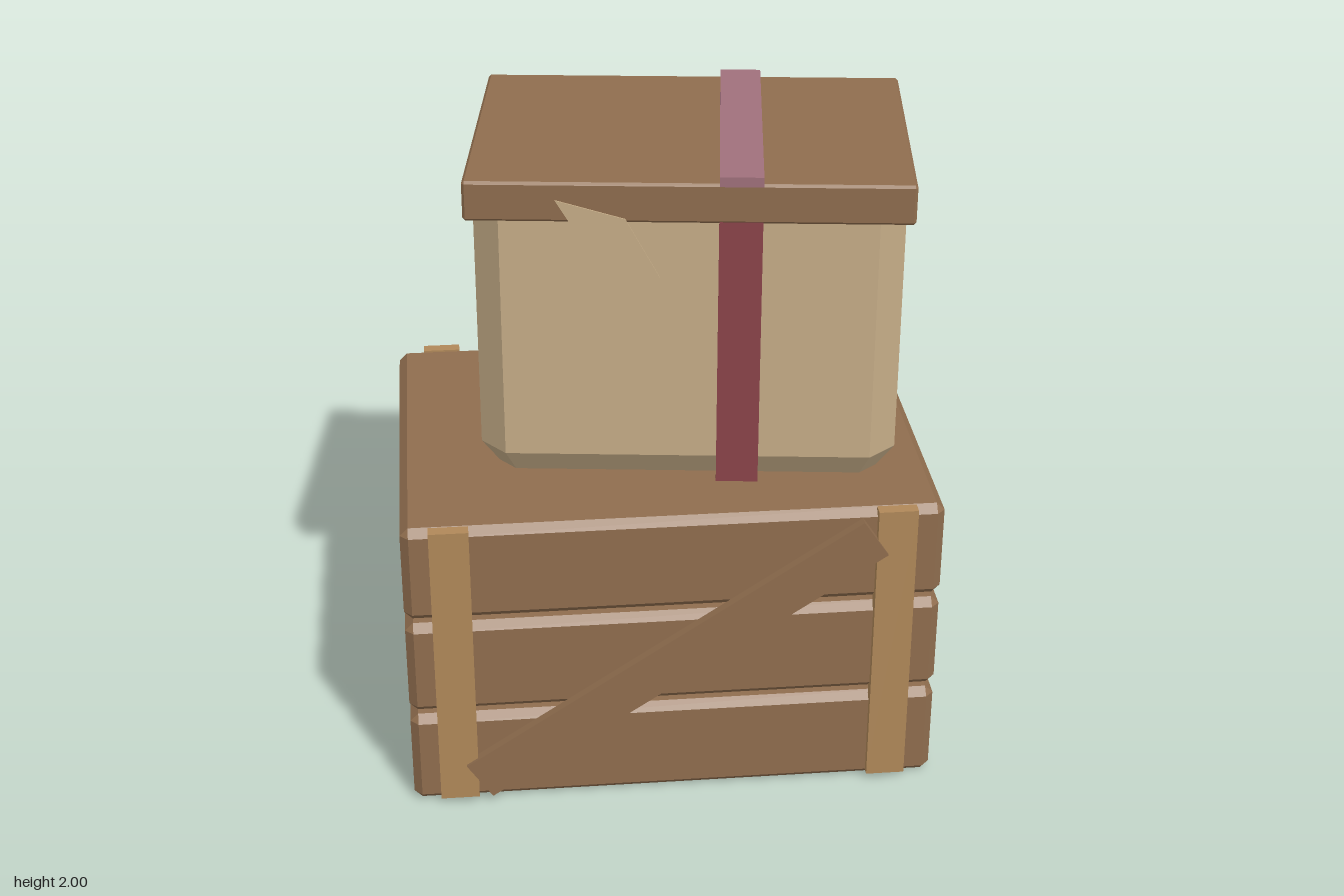
import * as THREE from 'three';
import { ConvexGeometry } from 'three/addons/geometries/ConvexGeometry.js';

const mat = (name, color) => {
  const m = new THREE.MeshStandardMaterial({ color });
  m.name = name;
  return m;
};

// Box with every edge cut at 45 degrees by c
function chamferBox(w, h, d, c) {
  const pts = [];
  for (const sx of [-1, 1]) for (const sy of [-1, 1]) for (const sz of [-1, 1]) {
    for (let k = 0; k < 3; k++) {
      const cut = [c, c, c];
      cut[k] = 0;
      pts.push(new THREE.Vector3(sx * (w / 2 - cut[0]), sy * (h / 2 - cut[1]), sz * (d / 2 - cut[2])));
    }
  }
  return new ConvexGeometry(pts);
}

// Octagonal cross-sections joined into one solid: [y, halfWidth, halfDepth, corner]
function octagonSolid(rings) {
  const pts = [];
  for (const [y, hx, hz, c] of rings)
    for (const sx of [-1, 1]) for (const sz of [-1, 1])
      pts.push(new THREE.Vector3(sx * (hx - c), y, sz * hz), new THREE.Vector3(sx * hx, y, sz * (hz - c)));
  return new ConvexGeometry(pts);
}

export function createModel() {
  const brown = mat('brown wood', 0x8f6d4e);
  const tan = mat('light wood', 0xb08859);
  const card = mat('cardboard', 0xc6ad88);
  const red = mat('red ribbon', 0x8b444a);
  const mauve = mat('mauve ribbon', 0xa0707c);

  const model = new THREE.Group();
  model.name = 'stackedBoxes';
  const add = (parent, name, geo, material, x = 0, y = 0, z = 0) => {
    const m = new THREE.Mesh(geo, material);
    m.name = name;
    m.position.set(x, y, z);
    parent.add(m);
    return m;
  };

  // Wooden crate: three stacked slabs with narrow gaps
  const crate = new THREE.Group();
  crate.name = 'crate';
  model.add(crate);
  for (let i = 0; i < 3; i++)
    add(crate, 'crateSlab', chamferBox(1.642, 0.316, 1.222, 0.025), brown, 0, 0.158 + i * 0.333, -0.002);

  // Posts and a diagonal brace on the front and the back
  for (const s of [-1, 1]) {
    for (const x of [-0.677, 0.672])
      add(crate, 'cratePost', new THREE.BoxGeometry(0.12, 0.962, 0.04), tan, x, 0.503, s * 0.614 - 0.002);
    const brace = add(crate, 'crateBrace', new THREE.BoxGeometry(1.465, 0.141, 0.03), brown, -0.004, 0.493, s * 0.63 - 0.003);
    brace.rotation.z = 0.587;
  }

  // Gift box, turned slightly on top of the crate
  const box = new THREE.Group();
  box.name = 'giftBox';
  box.position.set(0.11, 0, -0.033);
  box.rotation.y = -0.122;
  model.add(box);
  add(box, 'boxBody', octagonSolid([
    [1.005, 0.582, 0.39, 0.055],
    [1.085, 0.633, 0.44, 0.08],
    [1.93, 0.633, 0.44, 0.08],
  ]), card);
  add(box, 'boxLid', chamferBox(1.308, 0.122, 0.916, 0.008), brown, 0, 1.917, 0);

  // Ribbon: side strips front and back, and a strip over the lid
  for (const s of [-1, 1])
    add(box, 'sideRibbon', new THREE.BoxGeometry(0.127, 0.885, 0.07), red, 0.151, 1.4475, s * 0.419);
  add(box, 'topRibbon', new THREE.BoxGeometry(0.127, 0.03, 0.914), mauve, 0.151, 1.985, 0.001);

  // Paper tag hanging in front of the lid
  const tag = new THREE.Shape([[-0.384, 1.934], [-0.273, 1.75], [-0.082, 1.695], [-0.182, 1.878]]
    .map(([x, y]) => new THREE.Vector2(x, y)));
  add(box, 'paperTag', new THREE.ExtrudeGeometry(tag, { depth: 0.004, bevelEnabled: false }), card, 0, 0, 0.479);

  return model;
}
